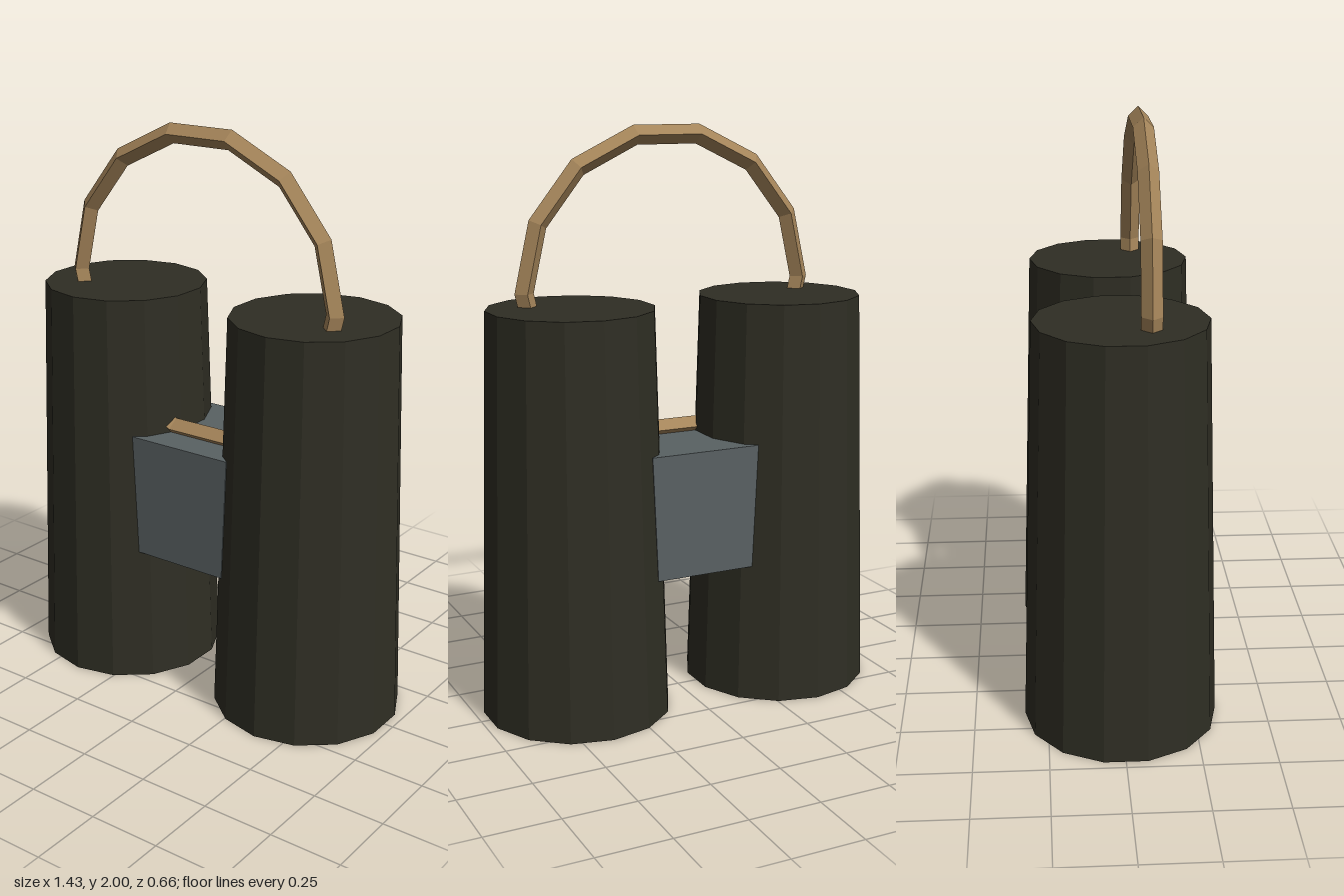
import * as THREE from 'three';

export function createModel() {
  const group = new THREE.Group();
  const material = (name, color) => {
    const m = new THREE.MeshStandardMaterial({ color, flatShading: true });
    m.name = name;
    return m;
  };
  const darkOlive = material('darkOlive', 0x2f2e24);
  const grey = material('grey', 0x596163);
  const tan = material('tan', 0xa5855a);

  const add = (name, geometry, mat, x, y, z) => {
    const mesh = new THREE.Mesh(geometry, mat);
    mesh.name = name;
    mesh.position.set(x, y, z);
    group.add(mesh);
  };

  // Two tapered fourteen-sided barrels
  for (const side of [-1, 1]) {
    const barrel = new THREE.CylinderGeometry(0.286, 0.329, 1.41, 14);
    add(side < 0 ? 'rightBarrel' : 'leftBarrel', barrel, darkOlive, side * 0.396, 0.705, 0);
  }

  // Bridge block joining the barrels, slightly narrower at the bottom
  const bridge = new THREE.BoxGeometry(0.4, 0.435, 0.444);
  const p = bridge.attributes.position;
  for (let i = 0; i < p.count; i++) {
    if (p.getY(i) < 0) p.setX(i, p.getX(i) * 0.9);
  }
  bridge.computeVertexNormals();
  add('bridge', bridge, grey, 0, 0.7075, 0);

  // Neck strap: a ring with a diamond section, passing through the barrels
  add('strap', new THREE.TorusGeometry(0.526, 0.034, 4, 14), tan, 0, 1.454, 0.088);

  return group;
}
